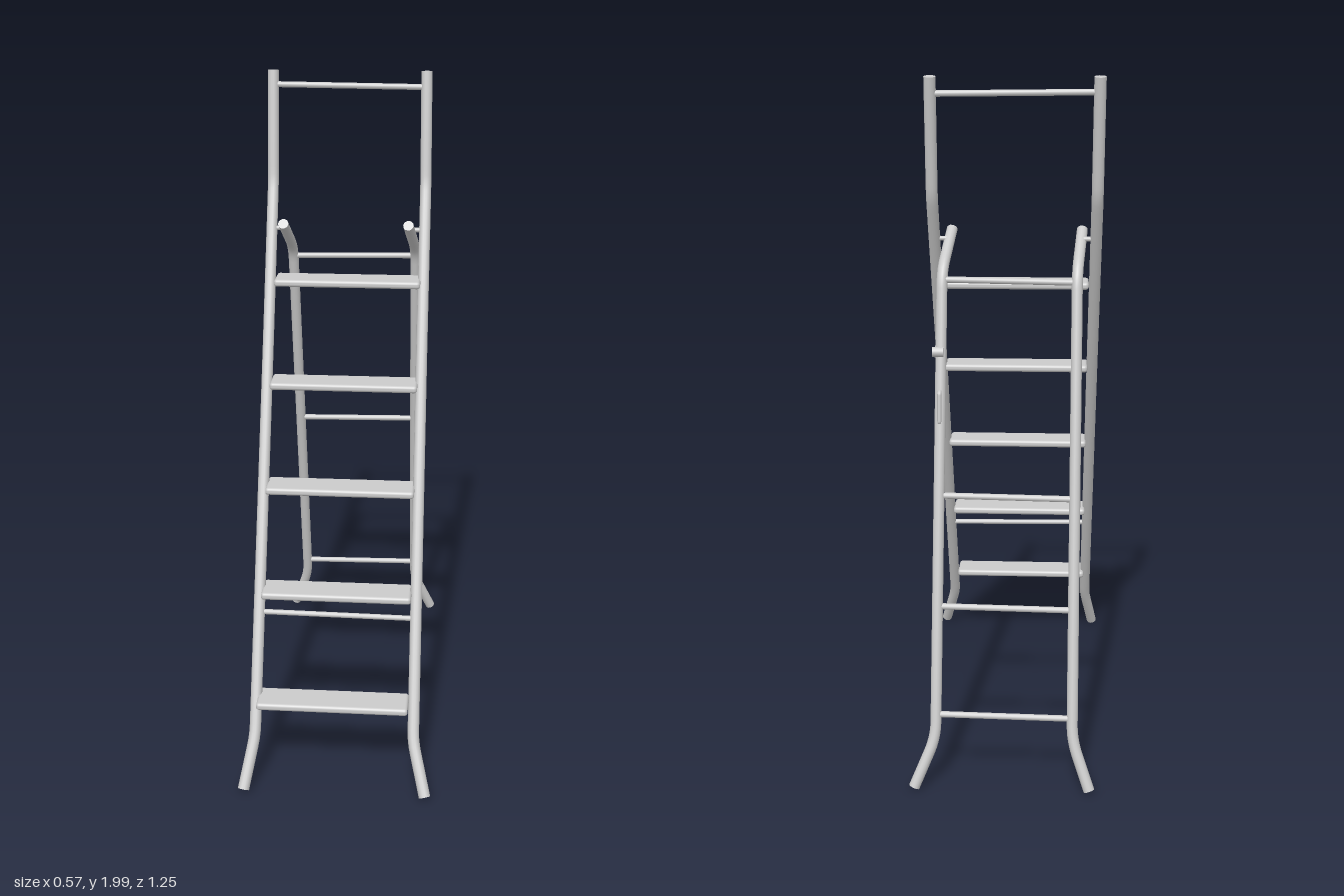
import * as THREE from 'three';
import { RoundedBoxGeometry } from 'three/addons/geometries/RoundedBoxGeometry.js';

const material = new THREE.MeshStandardMaterial({ color: 0xcccccc });
const V = (p) => new THREE.Vector3(...p);

// Path of straight runs joined by short rounded bends
function bentPath(points, bend) {
  const p = points.map(V);
  const path = new THREE.CurvePath();
  let start = p[0];
  for (let i = 1; i < p.length - 1; i++) {
    const a = p[i].clone().add(p[i - 1].clone().sub(p[i]).setLength(bend));
    const b = p[i].clone().add(p[i + 1].clone().sub(p[i]).setLength(bend));
    path.add(new THREE.LineCurve3(start, a));
    path.add(new THREE.QuadraticBezierCurve3(a, p[i], b));
    start = b;
  }
  path.add(new THREE.LineCurve3(start, p[p.length - 1]));
  return path;
}

// Round tube with flat end caps
function pipe(name, points, radius, bend = 0.03) {
  const group = new THREE.Group();
  group.name = name;
  const path = bentPath(points, bend);
  const segments = points.length > 2 ? 90 : 1;
  group.add(new THREE.Mesh(new THREE.TubeGeometry(path, segments, radius, 14), material));
  for (const [t, sign] of [[0, -1], [1, 1]]) {
    const cap = new THREE.Mesh(new THREE.CircleGeometry(radius, 14), material);
    cap.position.copy(path.getPoint(t));
    cap.quaternion.setFromUnitVectors(V([0, 0, 1]), path.getTangent(t).multiplyScalar(sign));
    group.add(cap);
  }
  group.children.forEach((m) => { m.name = name; });
  return group;
}

export function createModel() {
  const model = new THREE.Group();
  model.name = 'stepladder';

  // Front rails: splayed foot, long slope, steeper handrail on top
  model.add(
    pipe('frontRailRight', [[-0.267, 0.012, 0.61], [-0.24, 0.15, 0.535], [-0.25, 1.2, 0.017],
      [-0.255, 1.66, -0.208], [-0.257, 1.995, -0.266]], 0.017),
    pipe('frontRailLeft', [[0.266, 0.012, 0.61], [0.228, 0.15, 0.535], [0.22, 1.2, 0.017],
      [0.218, 1.66, -0.208], [0.214, 1.995, -0.266]], 0.017),
  );

  // Rear legs: splayed foot, straight leg, hook reaching the front rails
  model.add(
    pipe('rearLegRight', [[-0.25, 0.012, -0.61], [-0.2, 0.15, -0.57], [-0.2, 1.45, -0.242],
      [-0.213, 1.552, -0.1]], 0.016, 0.045),
    pipe('rearLegLeft', [[0.252, 0.012, -0.61], [0.192, 0.15, -0.57], [0.188, 1.45, -0.242],
      [0.17, 1.552, -0.1]], 0.016, 0.045),
  );

  // Treads
  const treads = [[0.25, 0.497], [0.535, 0.349], [0.815, 0.213], [1.1, 0.074], [1.385, -0.066]];
  for (const [y, z] of treads) {
    const tread = new THREE.Mesh(new RoundedBoxGeometry(0.445, 0.022, 0.102, 3, 0.009), material);
    tread.name = 'tread';
    tread.position.set(-0.012, y, z);
    model.add(tread);
  }

  // Rungs between the rear legs
  for (const [y, z] of [[0.212, -0.555], [0.513, -0.478], [0.822, -0.4], [1.423, -0.248]]) {
    model.add(pipe('rearRung', [[-0.2, y - 0.003, z], [0.19, y + 0.003, z]], 0.009));
  }

  // Top rail and tie bar between the front rails
  model.add(pipe('topRail', [[-0.257, 1.953, -0.258], [0.215, 1.948, -0.258]], 0.009));
  model.add(pipe('frontTieBar', [[-0.242, 0.475, 0.375], [0.225, 0.47, 0.375]], 0.008));

  // Pivot pins joining hooks and front rails
  model.add(
    pipe('pivotPin', [[-0.255, 1.53, -0.144], [-0.208, 1.53, -0.144]], 0.007),
    pipe('pivotPin', [[0.22, 1.53, -0.144], [0.175, 1.53, -0.144]], 0.007),
  );

  // Locking stay on one side, with its pins
  const from = V([0.21, 1.268, -0.022]);
  const to = V([0.2, 1.224, -0.32]);
  const stay = new THREE.Mesh(new THREE.BoxGeometry(0.01, 0.022, from.distanceTo(to)), material);
  stay.name = 'lockingStay';
  stay.position.copy(from).lerp(to, 0.5);
  stay.lookAt(from);
  model.add(stay);
  model.add(pipe('stayPin', [[0.18, 1.228, -0.315], [0.212, 1.228, -0.315]], 0.014));

  // Small catch on the back of the leg
  model.add(pipe('catch', [[0.19, 1.12, -0.326], [0.19, 1.115, -0.35], [0.19, 1.03, -0.362],
    [0.19, 1.03, -0.35]], 0.006, 0.006));
  return model;
}
